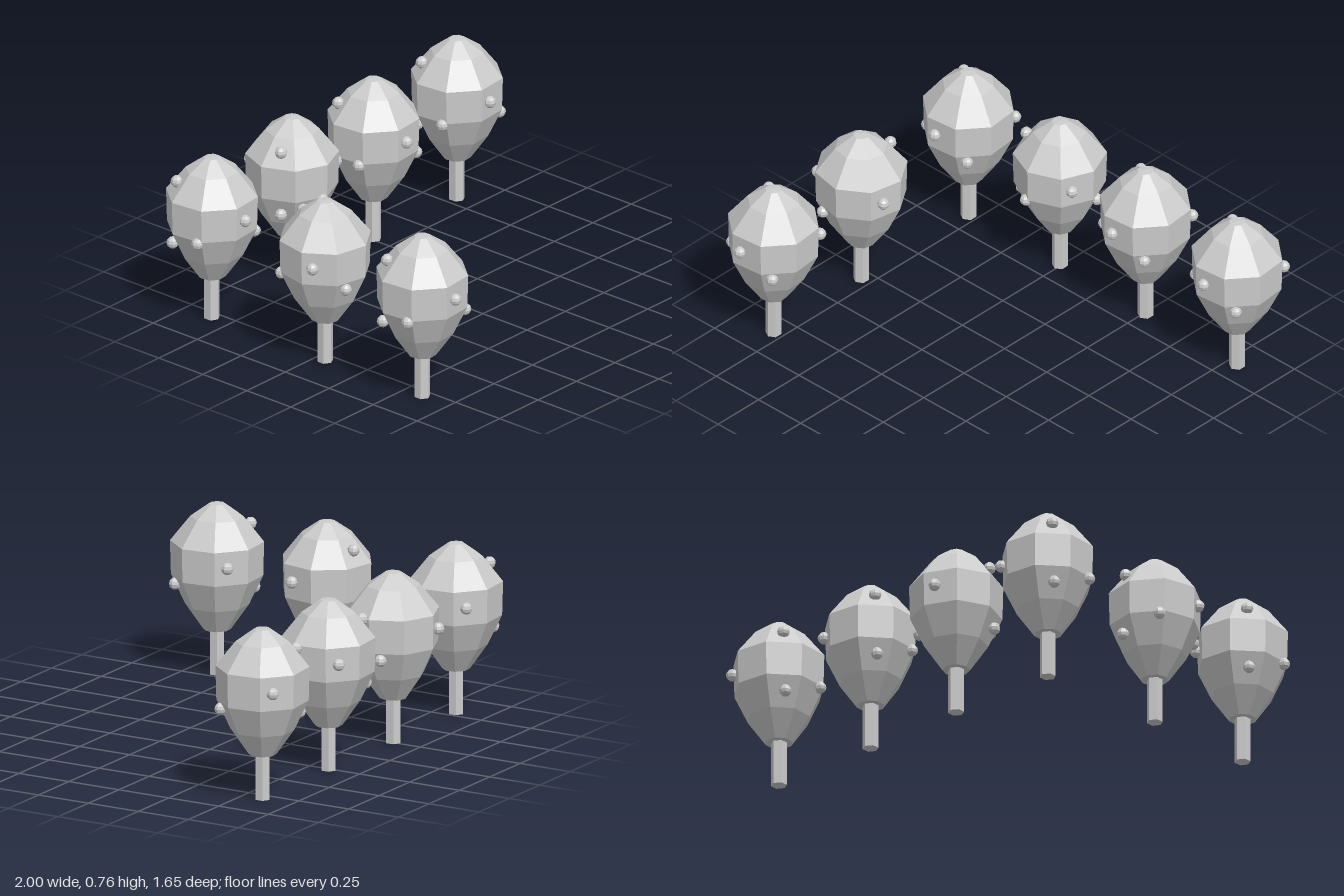
import * as THREE from 'three';

const material = new THREE.MeshStandardMaterial({ color: 0xcccccc, flatShading: true });
const rad = THREE.MathUtils.degToRad;

// Crown profile, bottom to top: radius, height
const crownProfile = [
  [0, 0.2], [0.06, 0.2], [0.137, 0.31], [0.198, 0.44],
  [0.202, 0.59], [0.115, 0.7], [0.035, 0.757], [0, 0.76],
].map(([r, y]) => new THREE.Vector2(r, y));

// Fruit on the crown: azimuth in degrees from +z towards +x, height, distance from axis
const fruits = [
  [134, 0.52, 0.2], [-129, 0.655, 0.153], [-127, 0.37, 0.172],
  [-68, 0.43, 0.19], [-3, 0.52, 0.197], [42, 0.41, 0.183],
];

// Tree places: x, z, turn in degrees
const places = [
  [-0.79, -0.6, 0], [-0.257, -0.61, 62], [0.26, -0.6, 0], [0.803, -0.6, 0],
  [-0.8, 0.052, -62], [-0.795, 0.6, 0],
];

const crownGeometry = new THREE.LatheGeometry(crownProfile, 8, rad(28));
const trunkGeometry = new THREE.CylinderGeometry(0.035, 0.035, 0.22, 6).translate(0, 0.11, 0);
const fruitGeometry = new THREE.SphereGeometry(0.027, 8, 6);

function part(name, geometry, parent) {
  const mesh = new THREE.Mesh(geometry, material);
  mesh.name = name;
  parent.add(mesh);
  return mesh;
}

function createTree() {
  const tree = new THREE.Group();
  tree.name = 'fruitTree';
  part('trunk', trunkGeometry, tree);
  part('crown', crownGeometry, tree);
  for (const [azimuth, y, r] of fruits) {
    const a = rad(azimuth);
    part('fruit', fruitGeometry, tree).position.set(r * Math.sin(a), y, r * Math.cos(a));
  }
  return tree;
}

export function createModel() {
  const orchard = new THREE.Group();
  orchard.name = 'orchard';
  for (const [x, z, turn] of places) {
    const tree = createTree();
    tree.position.set(x, 0, z);
    tree.rotation.y = rad(turn);
    orchard.add(tree);
  }
  return orchard;
}
